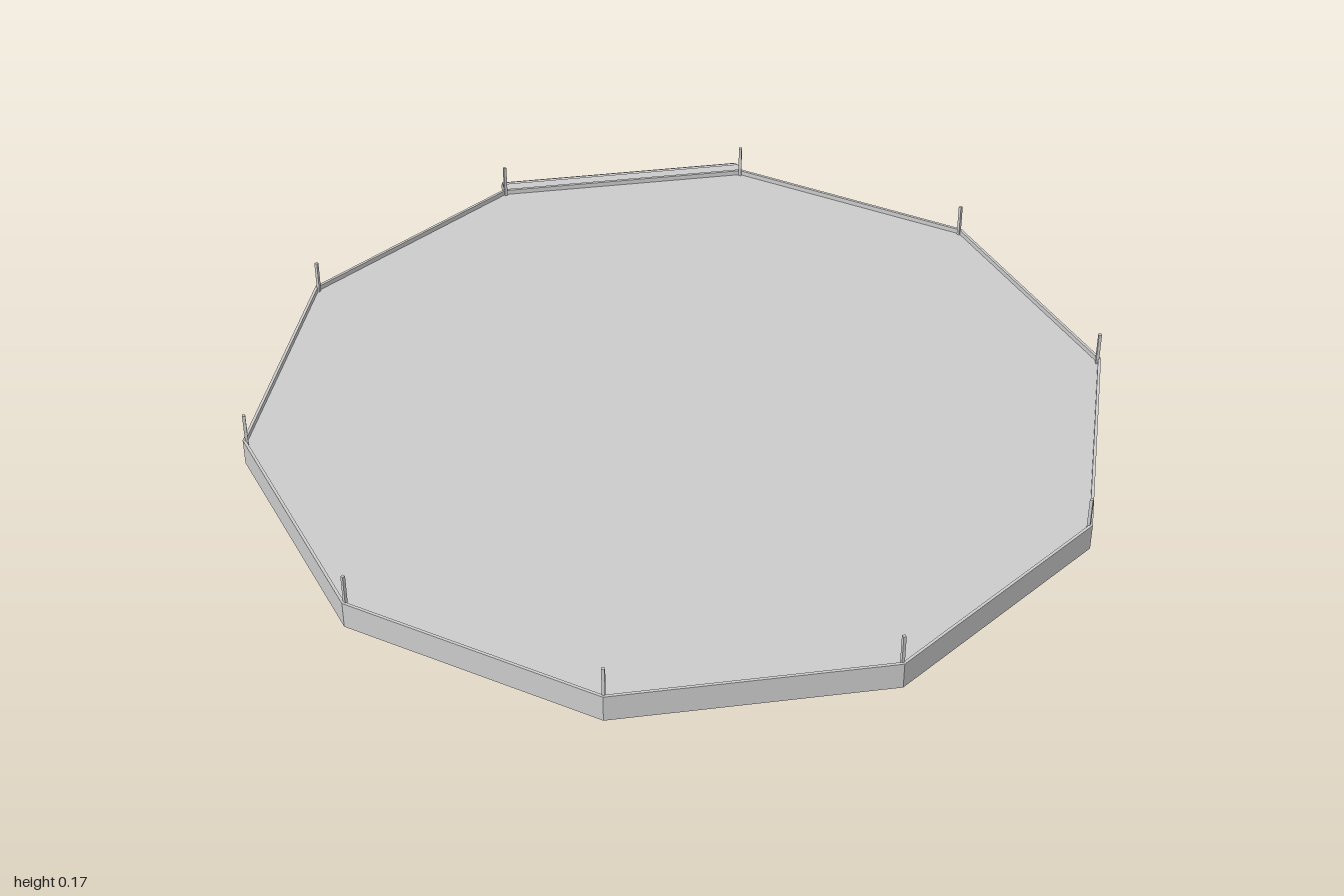
import * as THREE from 'three';

const SIDES = 10, CENTER_Z = 0.047;
const BOTTOM = 0.035, RIM = 0.1, FLOOR = 0.088;

// corner i of the ten-sided plan, with a flat side at front and back
function corner(i, radius) {
  const a = (i / SIDES) * Math.PI * 2;
  return new THREE.Vector2(Math.cos(a) * radius, Math.sin(a) * radius);
}

function decagon(radius) {
  return Array.from({ length: SIDES }, (_, i) => corner(i, radius));
}

export function createModel() {
  const group = new THREE.Group();
  const material = new THREE.MeshStandardMaterial({
    color: 0xcccccc, flatShading: true, side: THREE.DoubleSide,
  });
  const add = (name, geometry, x, y, z) => {
    const mesh = new THREE.Mesh(geometry, material);
    mesh.name = name;
    mesh.position.set(x, y, z);
    group.add(mesh);
    return mesh;
  };

  // thin skirt wall around the platform
  const ring = new THREE.Shape(decagon(1));
  ring.holes.push(new THREE.Path(decagon(0.993).reverse()));
  const wall = new THREE.ExtrudeGeometry(ring, { depth: RIM - BOTTOM, bevelEnabled: false });
  wall.rotateX(-Math.PI / 2);
  add('rimWall', wall, 0, BOTTOM, CENTER_Z);

  // floor panel set just below the rim, open underneath
  const floor = new THREE.ExtrudeGeometry(new THREE.Shape(decagon(0.994)), {
    depth: 0.004, bevelEnabled: false,
  });
  floor.rotateX(-Math.PI / 2);
  add('floor', floor, 0, FLOOR - 0.004, CENTER_Z);

  // slim post at every corner
  const postGeometry = new THREE.BoxGeometry(0.007, 0.17 - BOTTOM, 0.007);
  for (let i = 0; i < SIDES; i++) {
    const p = corner(i, 0.991);
    const post = add('post', postGeometry, p.x, (0.17 + BOTTOM) / 2, CENTER_Z + p.y);
    post.rotation.y = -(i / SIDES) * Math.PI * 2;
  }

  // back stairs: stepped on top and underneath
  const edges = [0.904, 0.938, 0.964, 0.986, 0.998];
  const tops = [0.094, 0.082, 0.069, 0.056];
  const profile = [];
  tops.forEach((y, i) => profile.push([edges[i], y], [edges[i + 1], y]));
  for (let i = 3; i >= 0; i--) {
    profile.push([edges[i + 1], tops[i] - 0.056], [edges[i], tops[i] - 0.056]);
  }
  const stairShape = new THREE.Shape(profile.map(([d, y]) => new THREE.Vector2(d, y)));
  const stairs = new THREE.ExtrudeGeometry(stairShape, { depth: 0.616, bevelEnabled: false });
  stairs.rotateY(Math.PI / 2);
  add('backStairs', stairs, -0.308, 0, 0);

  return group;
}
